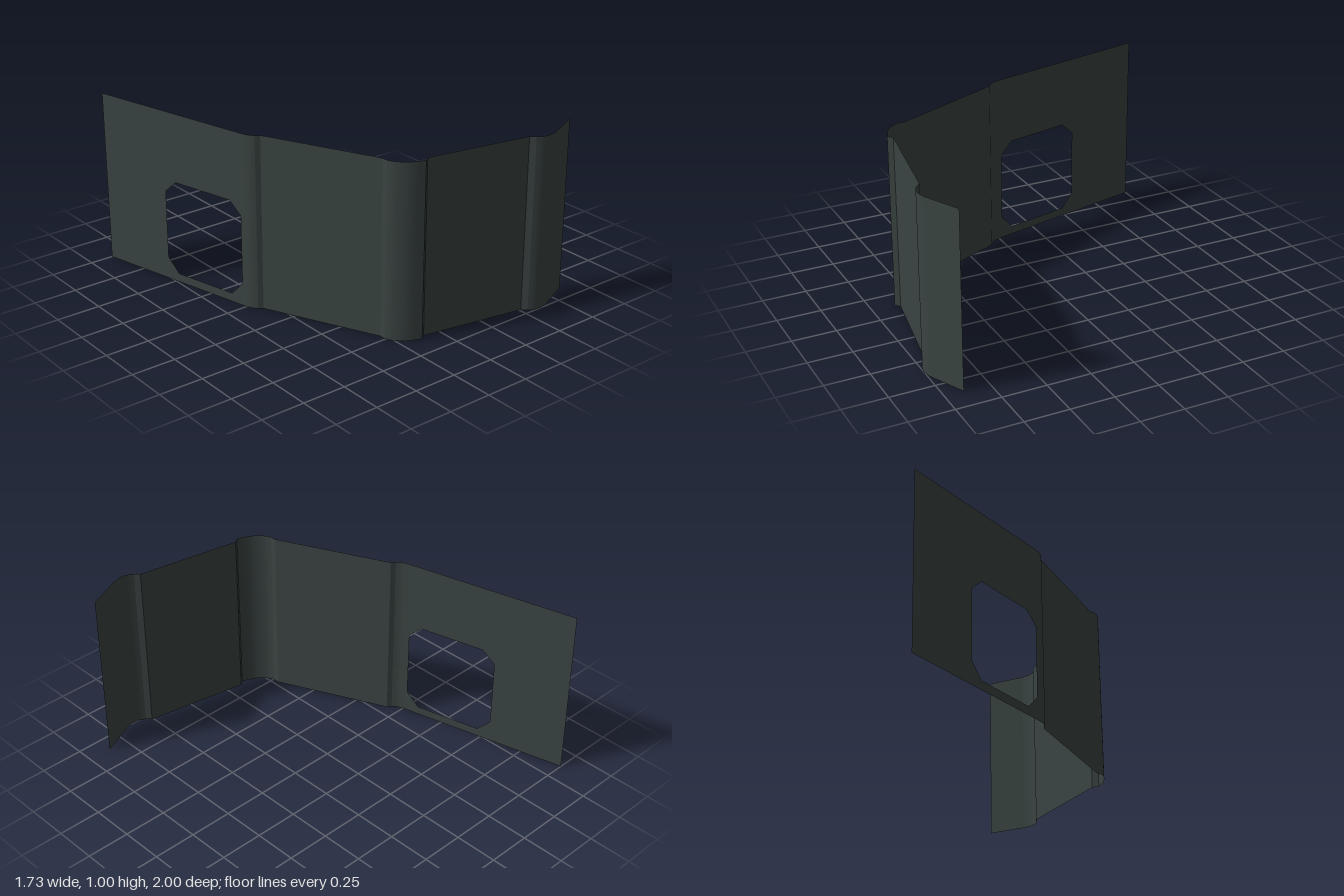
import * as THREE from 'three';

const HEIGHT = 1;
const v = ([x, z]) => new THREE.Vector2(x, z);

// Upright sheet following plan points [x, z]; bends are rounded by a spline
function sheet(name, plan, material, steps = 1) {
  const pts = steps > 1 ? new THREE.SplineCurve(plan.map(v)).getPoints(steps) : plan.map(v);
  const geo = new THREE.PlaneGeometry(1, HEIGHT, pts.length - 1, 1);
  const pos = geo.attributes.position;
  for (let i = 0; i < pos.count; i++) {
    const p = pts[i % pts.length];
    pos.setXYZ(i, p.x, pos.getY(i) + HEIGHT / 2, p.y);
  }
  geo.computeVertexNormals();
  const mesh = new THREE.Mesh(geo, material);
  mesh.name = name;
  return mesh;
}

// Flat panel with a chamfered opening, drawn in (z, y) and swung onto its plan line
function windowPanel(start, end, material) {
  const shape = new THREE.Shape([[start[1], 0], [end[1], 0], [end[1], HEIGHT], [start[1], HEIGHT]].map(v));
  shape.holes.push(new THREE.Path([
    [-0.48, 0.05], [-0.555, 0.13], [-0.555, 0.53], [-0.48, 0.6],
    [-0.1, 0.6], [-0.025, 0.53], [-0.025, 0.13], [-0.1, 0.05],
  ].map(v)));
  const geo = new THREE.ShapeGeometry(shape);
  const pos = geo.attributes.position;
  const slope = (end[0] - start[0]) / (end[1] - start[1]);
  for (let i = 0; i < pos.count; i++) {
    const z = pos.getX(i);
    pos.setXYZ(i, start[0] + (z - start[1]) * slope, pos.getY(i), z);
  }
  geo.computeVertexNormals();
  const mesh = new THREE.Mesh(geo, material);
  mesh.name = 'windowPanel';
  return mesh;
}

export function createModel() {
  const group = new THREE.Group();
  group.name = 'foldedWall';
  const dark = new THREE.MeshStandardMaterial({ color: 0x3a4442, side: THREE.DoubleSide });
  dark.name = 'dark green grey';

  group.add(
    // Rear panel with the opening
    windowPanel([-0.865, -1], [-0.628, -0.015], dark),
    // Shallow bend and its small step
    sheet('rearBend', [[-0.628, -0.015], [-0.612, 0.03], [-0.59, 0.06]], dark, 8),
    sheet('rearStep', [[-0.59, 0.06], [-0.565, 0.075]], dark),
    sheet('sidePanel', [[-0.565, 0.075], [-0.275, 0.71]], dark),
    // Main corner, standing slightly proud of the panels
    sheet('cornerStepRear', [[-0.275, 0.71], [-0.275, 0.745]], dark),
    sheet('cornerBend', [[-0.275, 0.745], [-0.255, 0.785], [-0.2, 0.835], [-0.125, 0.868]], dark, 12),
    sheet('cornerStepFront', [[-0.125, 0.868], [-0.095, 0.845]], dark),
    sheet('frontPanel', [[-0.095, 0.845], [0.51, 0.95]], dark),
    // Front end, curving back
    sheet('endStep', [[0.51, 0.95], [0.535, 0.977]], dark),
    sheet('endBend', [[0.535, 0.977], [0.57, 0.995], [0.61, 1], [0.66, 0.989]], dark, 12),
    sheet('endPanel', [[0.66, 0.989], [0.865, 0.895]], dark),
  );
  return group;
}
